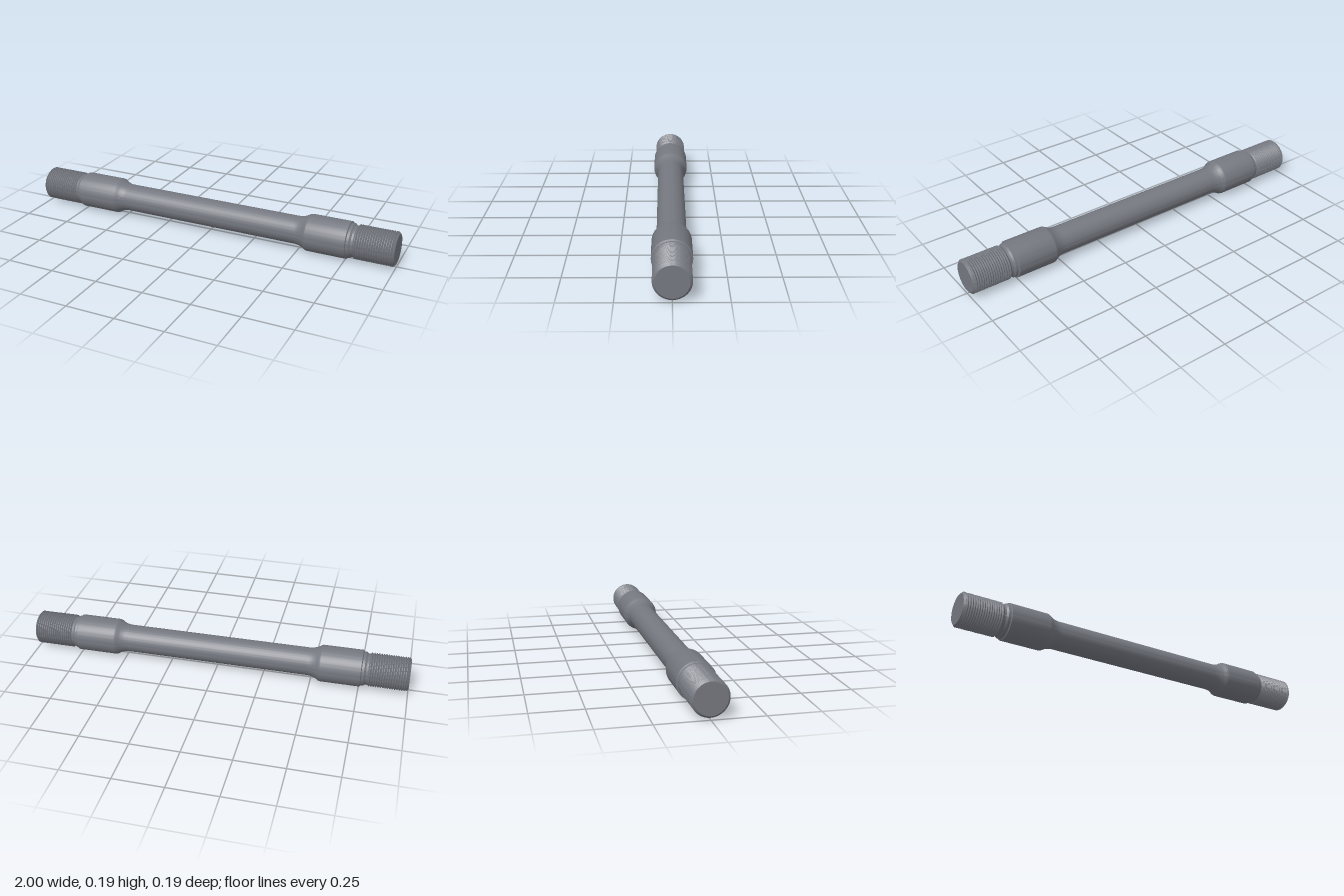
import * as THREE from 'three';
import { toCreasedNormals } from 'three/addons/utils/BufferGeometryUtils.js';

const steel = new THREE.MeshStandardMaterial({ color: 0x757880 });
const SHANK = 0.072, BODY = 0.095, CREST = 0.0875, ROOT = 0.081;

// Turned part: profile of [x, radius] pairs, running towards +x
function turned(name, profile) {
  const points = profile.map(([x, r]) => new THREE.Vector2(r, x));
  const geometry = new THREE.LatheGeometry(points, 72);
  geometry.rotateZ(-Math.PI / 2);
  const mesh = new THREE.Mesh(toCreasedNormals(geometry, 0.35), steel);
  mesh.name = name;
  return mesh;
}

// Shoulder: concave fillet up from the shank, rounded onto a straight land
function shoulderProfile() {
  const start = 0.48, blend = 0.54, end = 0.555, slope = 0.6;
  const blendRadius = SHANK + (BODY - SHANK) * (blend - start) / (end - start);
  const profile = [];
  for (let i = 0; i <= 8; i++) {
    const a = (i / 8) * slope;
    profile.push([
      start + (blend - start) * Math.sin(a) / Math.sin(slope),
      SHANK + (blendRadius - SHANK) * (1 - Math.cos(a)) / (1 - Math.cos(slope)),
    ]);
  }
  for (let i = 3; i >= 0; i--) {
    const a = (i / 4) * slope;
    profile.push([
      end - (end - blend) * Math.sin(a) / Math.sin(slope),
      BODY - (BODY - blendRadius) * (1 - Math.cos(a)) / (1 - Math.cos(slope)),
    ]);
  }
  profile.push([0.757, BODY], [0.761, CREST]);
  return profile;
}

// Thread: V-shaped ridges, closed by a chamfered end face
function threadProfile() {
  const start = 0.795, end = 0.987, ridges = 16;
  const pitch = (end - start) / ridges;
  const profile = [[start, ROOT]];
  for (let i = 0; i < ridges; i++) {
    const x = start + i * pitch;
    profile.push([x + pitch * 0.42, CREST], [x + pitch * 0.58, CREST], [x + pitch, ROOT]);
  }
  profile.push([0.99, CREST], [1, 0.077], [1, 0]);
  return profile;
}

function createEnd(name) {
  const end = new THREE.Group();
  end.name = name;
  end.add(
    turned('shoulder', shoulderProfile()),
    // Collar falling into the thread relief groove
    turned('neck', [[0.761, CREST], [0.773, CREST], [0.782, 0.08], [0.787, 0.079], [0.792, 0.079], [0.795, ROOT]]),
    turned('thread', threadProfile()),
  );
  return end;
}

export function createModel() {
  const stud = new THREE.Group();
  stud.name = 'stud';
  const leftEnd = createEnd('leftEnd');
  const rightEnd = createEnd('rightEnd');
  rightEnd.rotation.y = Math.PI;
  stud.add(turned('shank', [[-0.48, SHANK], [0.48, SHANK]]), leftEnd, rightEnd);
  stud.position.y = BODY;

  const model = new THREE.Group();
  model.name = 'threadedStud';
  model.add(stud);
  return model;
}
